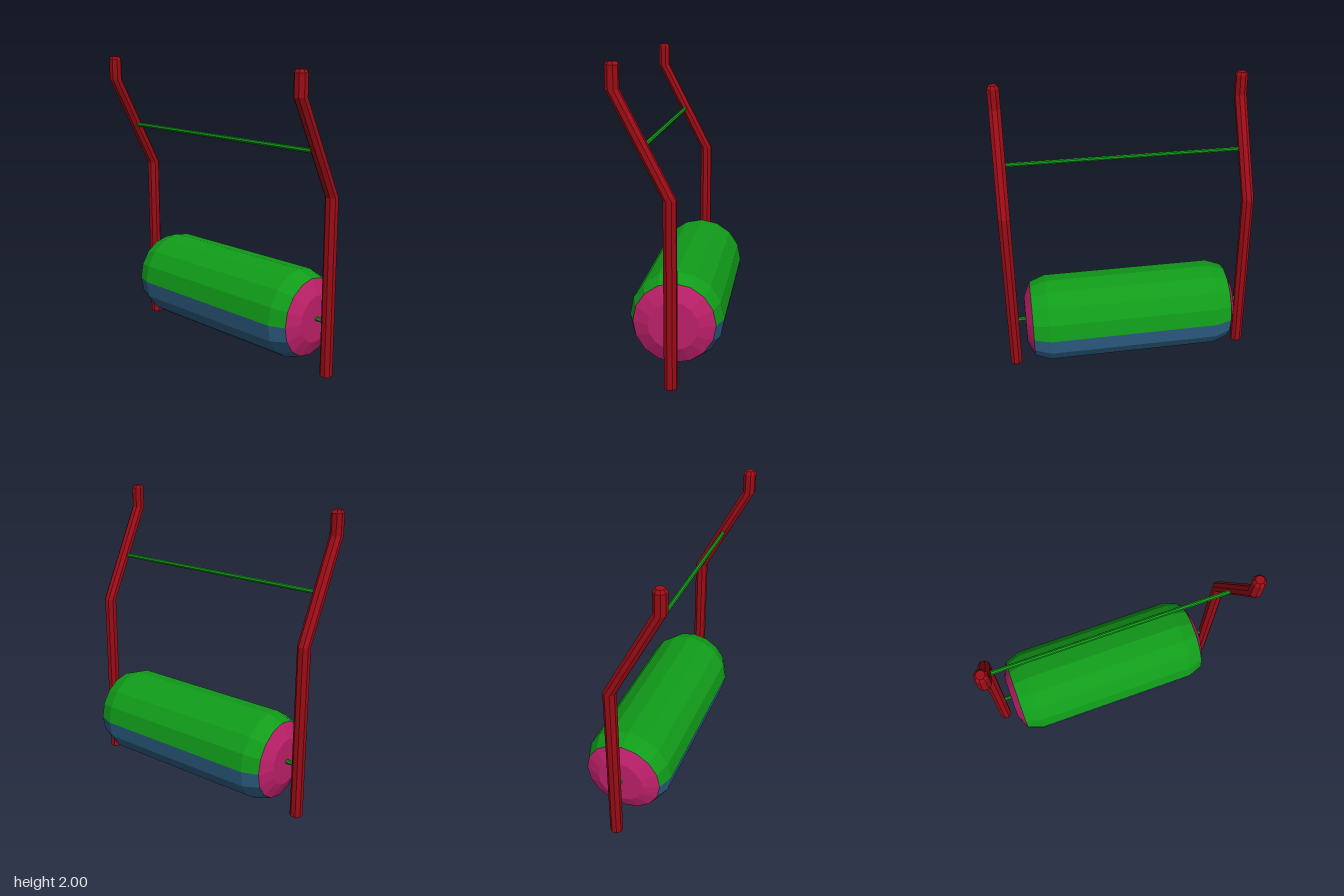
import * as THREE from 'three';

const material = (color) => new THREE.MeshStandardMaterial({ color, flatShading: true });
const GREEN = material(0x119c1a), BLUE = material(0x2f6288), PINK = material(0xbe206a), RED = material(0x9c0c16);

const AXLE_X = 0.03, AXLE_Y = 0.37, POST_Z = 0.835;

export function createModel() {
  const group = new THREE.Group();

  const add = (name, geometry, mat, x = 0, y = 0, z = 0) => {
    const mesh = new THREE.Mesh(geometry, mat);
    mesh.name = name;
    mesh.position.set(x, y, z);
    group.add(mesh);
    return mesh;
  };
  const lathe = (profile, segments, start = 0, sweep = Math.PI * 2) =>
    new THREE.LatheGeometry(profile.map(([r, y]) => new THREE.Vector2(r, y)), segments, start, sweep);

  // Drum: sixteen-sided shell with tapered ends, split into two coloured halves
  const shell = [[0.265, -0.7], [0.305, -0.59], [0.305, 0.59], [0.265, 0.7]];
  const half = (start) => lathe(shell, 8, start, Math.PI).rotateX(Math.PI / 2);
  add('drumUpperHalf', half(Math.PI / 2), GREEN, AXLE_X, AXLE_Y);
  add('drumLowerHalf', half(-Math.PI / 2), BLUE, AXLE_X, AXLE_Y);

  // Bevelled end caps, one turned round to face the back
  const cap = lathe([[0.265, 0.7], [0.16, 0.745], [0, 0.745]], 16).rotateX(Math.PI / 2);
  add('drumFrontCap', cap, PINK, AXLE_X, AXLE_Y);
  add('drumBackCap', cap, PINK, AXLE_X, AXLE_Y).rotation.y = Math.PI;

  // Cranked octagonal posts: a straight lathe sheared sideways between the bends
  const r = 0.04 / Math.cos(Math.PI / 8);
  const post = lathe([[0, 0], [r, 0], [r, 1.2], [r, 1.84], [r, 1.98], [0.028, 2], [0, 2]], 8, Math.PI / 8);
  const pos = post.attributes.position;
  for (let i = 0; i < pos.count; i++) {
    const bend = THREE.MathUtils.clamp((pos.getY(i) - 1.2) / 0.64, 0, 1);
    pos.setX(i, pos.getX(i) + AXLE_X - 0.33 * bend);
  }
  post.computeVertexNormals();
  add('frontPost', post, RED, 0, 0, POST_Z);
  add('backPost', post, RED, 0, 0, -POST_Z);

  // Axle through the drum and crossbar between the posts
  const rod = new THREE.CylinderGeometry(0.015, 0.015, 2 * POST_Z - 0.04, 8).rotateX(Math.PI / 2);
  add('axle', rod, GREEN, AXLE_X, AXLE_Y);
  add('crossbar', rod, GREEN, -0.135, 1.505);

  return group;
}
